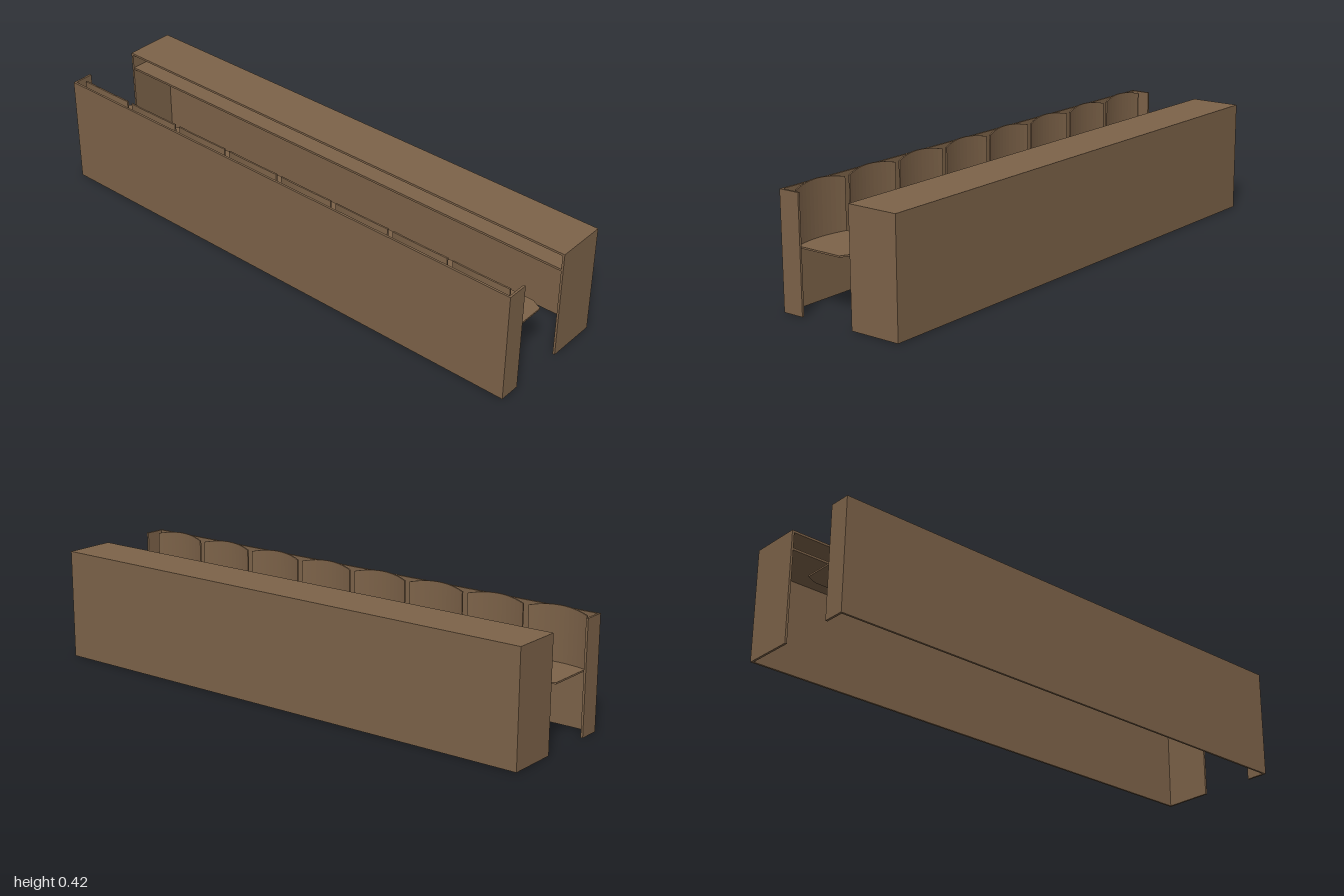
import * as THREE from 'three';

const wood = new THREE.MeshStandardMaterial({ color: 0x7d6349, flatShading: true });
const H = 0.413, T = 0.008, X = 0.245;

// Box given by its minimum and maximum corners
function slab(name, x0, x1, y0, y1, z0, z1) {
  const mesh = new THREE.Mesh(new THREE.BoxGeometry(x1 - x0, y1 - y0, z1 - z0), wood);
  mesh.position.set((x0 + x1) / 2, (y0 + y1) / 2, (z0 + z1) / 2);
  mesh.name = name;
  return mesh;
}

// Seat plate with bevelled front corners, lying flat
function seatGeometry() {
  const outline = [
    [-0.218, -0.095], [-0.208, -0.112], [-0.02, -0.112], [0, -0.072],
    [0, 0.072], [-0.02, 0.112], [-0.208, 0.112], [-0.218, 0.095],
  ].map(([x, z]) => new THREE.Vector2(x, z));
  const g = new THREE.ExtrudeGeometry(new THREE.Shape(outline), { depth: 0.006, bevelEnabled: false });
  return g.rotateX(-Math.PI / 2);
}

// Thin backrest, wrapped forward at its sides and arched along the top
function backrestGeometry() {
  const bottom = 0.225, g = new THREE.BoxGeometry(0.006, 1, 0.224, 1, 1, 12);
  const p = g.attributes.position;
  for (let i = 0; i < p.count; i++) {
    const t = (p.getZ(i) / 0.112) ** 2;
    const top = 0.423 - 0.014 * t;
    p.setX(i, -0.22 + p.getX(i) + 0.017 * t);
    p.setY(i, p.getY(i) > 0 ? top : bottom);
  }
  g.computeVertexNormals();
  return g;
}

export function createModel() {
  const model = new THREE.Group();
  model.name = 'benchAndDesk';

  // Long desk, open towards the seats and underneath
  const desk = new THREE.Group();
  desk.name = 'desk';
  desk.add(
    slab('deskTop', 0.052, X, H - T, H, -1, 1),
    slab('deskFrontPanel', X - T, X, 0, H - T, -1, 1),
    slab('deskShelf', 0.054, X - T, 0.342, 0.35, -1 + T, 1 - T),
  );

  // Back wall behind the seats
  const bench = new THREE.Group();
  bench.name = 'bench';
  bench.add(slab('benchBackPanel', -X, -X + T, 0, H, -1, 1));

  // End panels of both parts
  for (const s of [-1, 1]) {
    const z0 = s < 0 ? -1 : 1 - T;
    desk.add(slab('deskEndPanel', 0.052, X - T, 0, H - T, z0, z0 + T));
    bench.add(slab('benchEndPanel', -X + T, -0.164, 0, H, z0, z0 + T));
  }

  // Row of eight seats
  const seatGeo = seatGeometry(), backGeo = backrestGeometry();
  for (let i = 0; i < 8; i++) {
    const place = new THREE.Group();
    place.name = 'seatPlace';
    const seat = new THREE.Mesh(seatGeo, wood);
    seat.name = 'seat';
    seat.position.y = 0.219;
    const backrest = new THREE.Mesh(backGeo, wood);
    backrest.name = 'backrest';
    place.add(seat, backrest);
    place.position.z = -0.002 + (i - 3.5) * 0.246;
    bench.add(place);
  }

  model.add(desk, bench);
  return model;
}
